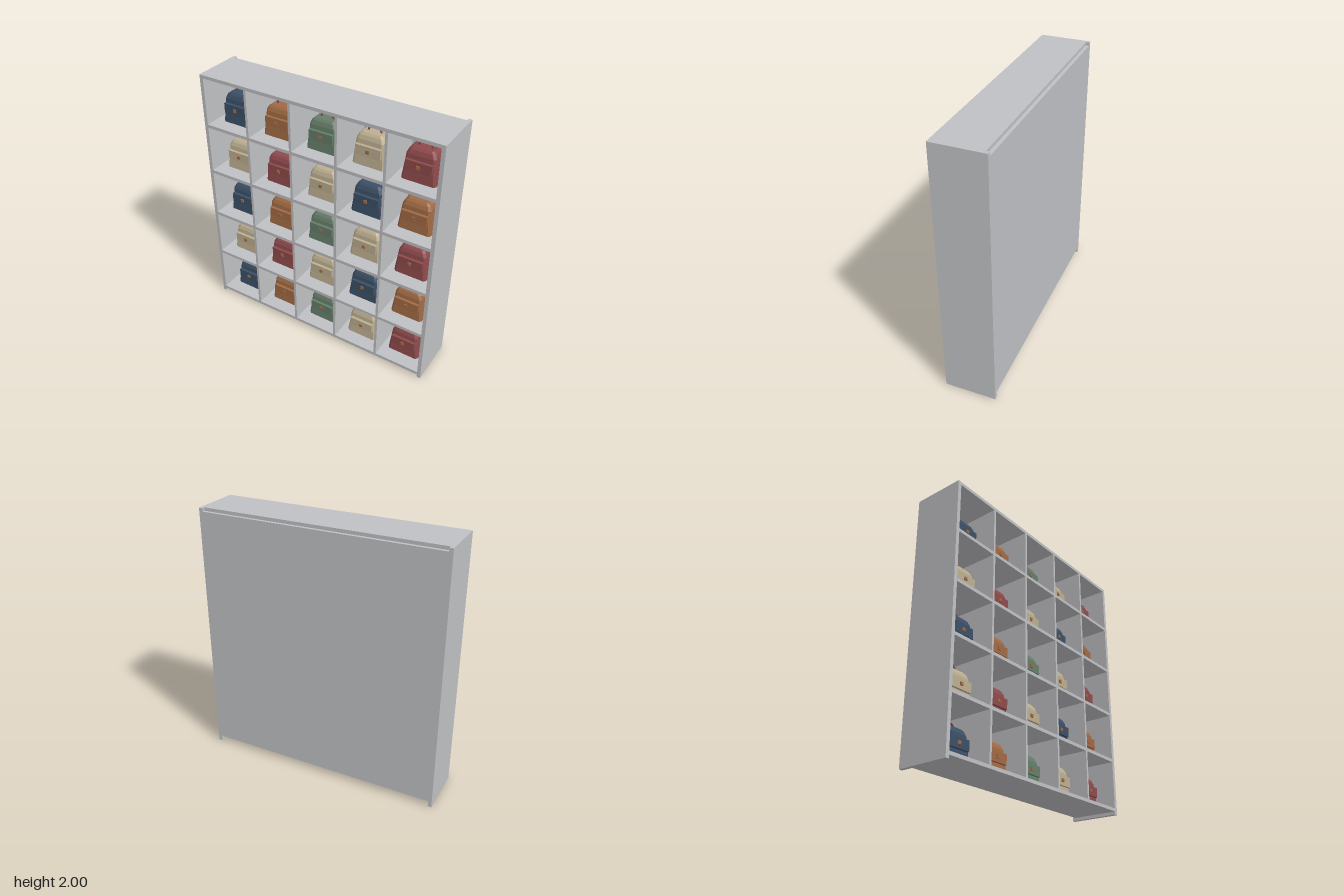
import * as THREE from 'three';

const mat = (name, color) => {
  const m = new THREE.MeshStandardMaterial({ color });
  m.name = name;
  return m;
};

// Tapered body: chamfered rectangles [y, halfWidth, halfDepth, chamfer] stacked upwards
function loft(sections) {
  const rings = sections.map(([y, w, d, c]) => [
    [w - c, d], [w, d - c], [w, c - d], [w - c, -d],
    [c - w, -d], [-w, c - d], [-w, d - c], [c - w, d],
  ].map(([x, z]) => [x, y, z]));
  const pos = [];
  const tri = (a, b, c) => pos.push(...a, ...b, ...c);
  const n = rings[0].length;
  for (let r = 0; r < rings.length - 1; r++) {
    for (let i = 0; i < n; i++) {
      const j = (i + 1) % n;
      const [lo, hi] = [rings[r], rings[r + 1]];
      tri(lo[i], lo[j], hi[j]);
      tri(lo[i], hi[j], hi[i]);
    }
  }
  const bottom = rings[0], top = rings[rings.length - 1];
  for (let i = 1; i < n - 1; i++) {
    tri(top[0], top[i], top[i + 1]);
    tri(bottom[0], bottom[i + 1], bottom[i]);
  }
  const g = new THREE.BufferGeometry();
  g.setAttribute('position', new THREE.Float32BufferAttribute(pos, 3));
  g.computeVertexNormals();
  return g;
}

export function createModel() {
  const model = new THREE.Group();
  model.name = 'bagDisplay';

  const grey = mat('shelfGrey', 0xbfc0c3);
  const navy = mat('navy', 0x3b4f66);
  const tan = mat('tan', 0xa06a45);
  const green = mat('green', 0x657d69);
  const cream = mat('cream', 0xbcae90);
  const maroon = mat('maroon', 0x8e4a4c);

  const add = (parent, name, geo, material, x, y, z) => {
    const m = new THREE.Mesh(geo, material);
    m.name = name;
    m.position.set(x, y, z);
    parent.add(m);
    return m;
  };

  // Cabinet measures
  const H = 2, halfW = 0.945, halfD = 0.195;
  const side = 0.028, board = 0.025, divider = 0.019;
  const inner = halfW - side;
  const pitchX = 0.367, pitchY = 0.3905, floor0 = 0.049;
  const depth = 2 * halfD - board, midZ = board / 2; // boards stop at the back panel

  const shelf = new THREE.Group();
  shelf.name = 'cabinet';
  model.add(shelf);

  // Side panels run to the ground
  const sideGeo = new THREE.BoxGeometry(side, H, 2 * halfD);
  for (const s of [-1, 1]) add(shelf, 'sidePanel', sideGeo, grey, s * (halfW - side / 2), H / 2, 0);

  // Bottom, shelves and top
  const boardGeo = new THREE.BoxGeometry(2 * inner, board, depth);
  for (let r = 0; r <= 5; r++) {
    const topY = r === 5 ? H : floor0 + r * pitchY;
    const name = r === 0 ? 'bottomPanel' : r === 5 ? 'topPanel' : 'shelfBoard';
    add(shelf, name, boardGeo, grey, 0, topY - board / 2, midZ);
  }

  // Upright dividers in each row
  const cellH = pitchY - board;
  const dividerGeo = new THREE.BoxGeometry(divider, cellH, depth);
  for (let r = 0; r < 5; r++) {
    for (let c = 0; c < 4; c++) {
      add(shelf, 'divider', dividerGeo, grey, (c - 1.5) * pitchX, floor0 + r * pitchY + cellH / 2, midZ);
    }
  }

  // Back panel between bottom and top boards
  const backH = H - board - floor0;
  add(shelf, 'backPanel', new THREE.BoxGeometry(2 * inner, backH, board), grey,
    0, floor0 + backH / 2, -halfD + board / 2);

  // Shared bag geometries
  const bodyGeo = loft([
    [0, 0.125, 0.085, 0.016],
    [0.187, 0.105, 0.07, 0.016],
    [0.215, 0.093, 0.059, 0.016],
    [0.23, 0.074, 0.046, 0.012],
  ]);
  const pocketGeo = new THREE.BoxGeometry(0.19, 0.075, 0.03);
  const claspGeo = new THREE.BoxGeometry(0.024, 0.024, 0.01);
  const handleGeo = new THREE.TorusGeometry(0.049, 0.007, 8, 20, Math.PI);

  const makeBag = (material) => {
    const bag = new THREE.Group();
    bag.name = 'handbag';
    add(bag, 'bagBody', bodyGeo, material, 0, 0, 0);
    add(bag, 'frontPocket', pocketGeo, material, 0, 0.117, 0.08);
    add(bag, 'clasp', claspGeo, tan, 0, 0.117, 0.098);
    add(bag, 'handle', handleGeo, maroon, 0, 0.222, 0);
    return bag;
  };

  // Two alternating colour rows
  const patterns = [
    [navy, tan, green, cream, maroon],
    [cream, maroon, cream, navy, tan],
  ];
  for (let r = 0; r < 5; r++) {
    patterns[r % 2].forEach((material, c) => {
      const bag = makeBag(material);
      bag.position.set((c - 2) * pitchX, floor0 + r * pitchY, 0);
      model.add(bag);
    });
  }

  return model;
}
